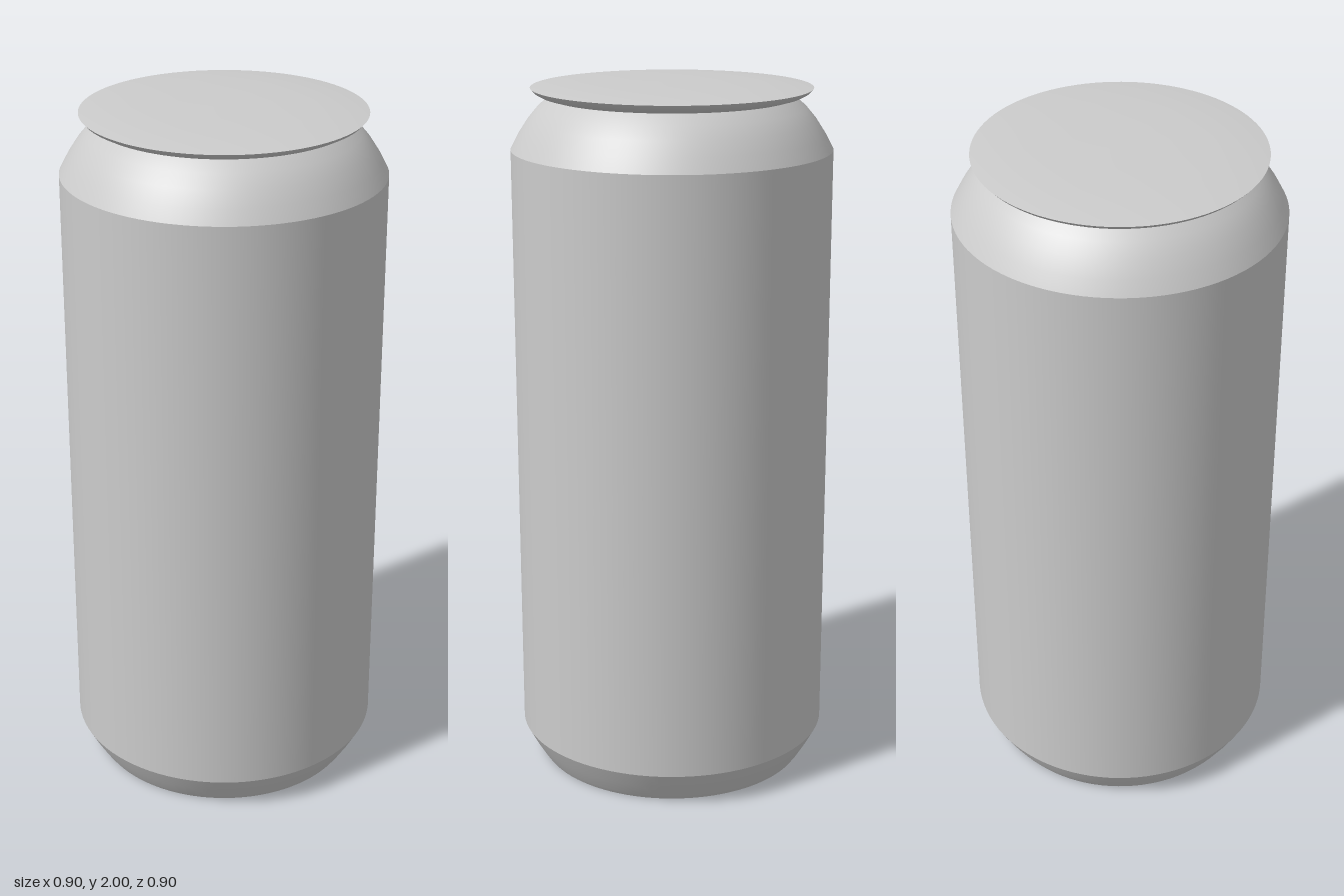
import * as THREE from 'three';

const SEGMENTS = 96;

export function createModel() {
  const can = new THREE.Group();
  can.name = 'drinkCan';
  const material = new THREE.MeshStandardMaterial({ color: 0xcccccc, side: THREE.DoubleSide });

  // Each band is its own lathe, so the seams between bands stay sharp.
  const addBand = (name, profile) => {
    const points = profile.map(([r, y]) => new THREE.Vector2(r, y));
    const mesh = new THREE.Mesh(new THREE.LatheGeometry(points, SEGMENTS), material);
    mesh.name = name;
    can.add(mesh);
  };

  // Slightly hollow underside, running out to the foot
  addBand('base', [[0, 0.015], [0.13, 0.014], [0.26, 0.009], [0.35, 0.003], [0.39, 0]]);
  // Tapered foot
  addBand('foot', [[0.39, 0], [0.4, 0.014], [0.425, 0.055], [0.449, 0.1]]);
  // Straight wall
  addBand('body', [[0.449, 0.1], [0.449, 1.815]]);
  // Rounded shoulder narrowing to the neck
  addBand('shoulder', [[0.449, 1.815], [0.428, 1.855], [0.402, 1.895], [0.373, 1.93], [0.34, 1.957]]);
  // Flared underside of the lid
  addBand('lidFlare', [[0.34, 1.957], [0.365, 1.964], [0.382, 1.973], [0.392, 1.984]]);
  // Shallow domed lid
  addBand('lid', [[0.392, 1.984], [0.34, 1.99], [0.25, 1.996], [0.13, 1.999], [0, 2]]);

  return can;
}
